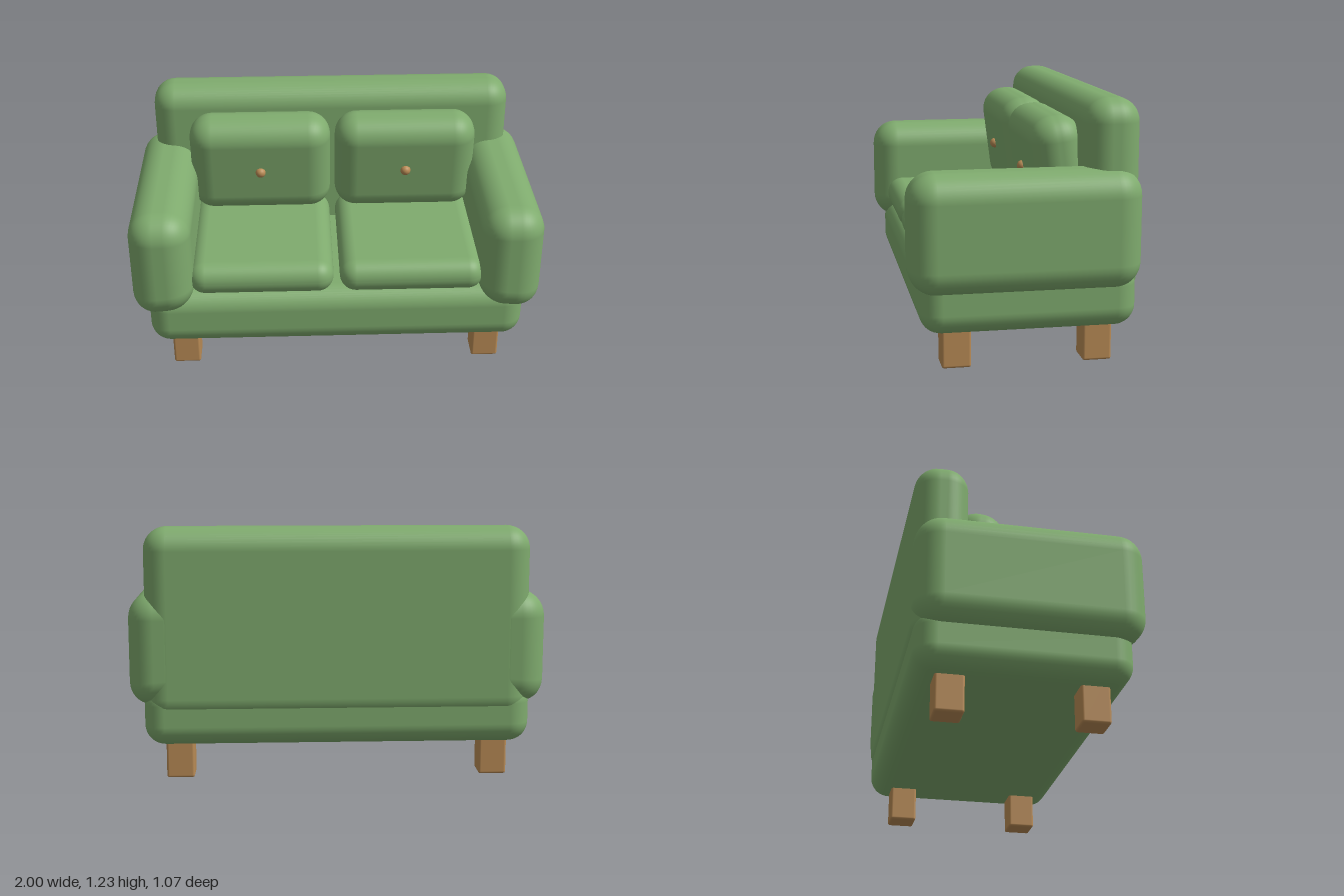
import * as THREE from 'three';
import { RoundedBoxGeometry } from 'three/addons/geometries/RoundedBoxGeometry.js';

export function createModel() {
  const sofa = new THREE.Group();
  sofa.name = 'sofa';

  const fabric = new THREE.MeshStandardMaterial({ color: 0x7fab6e });
  fabric.name = 'green fabric';
  const wood = new THREE.MeshStandardMaterial({ color: 0xb98b55 });
  wood.name = 'warm wood';

  // Rounded block given by its [min, max] extent on each axis
  function block(name, [x0, x1], [y0, y1], [z0, z1], radius, material = fabric, segments = 5) {
    const geometry = new RoundedBoxGeometry(x1 - x0, y1 - y0, z1 - z0, segments, radius);
    const mesh = new THREE.Mesh(geometry, material);
    mesh.name = name;
    mesh.position.set((x0 + x1) / 2, (y0 + y1) / 2, (z0 + z1) / 2);
    sofa.add(mesh);
    return mesh;
  }

  // Frame
  block('base', [-0.93, 0.93], [0.175, 0.475], [-0.52, 0.48], 0.1);
  block('backrest', [-0.92, 0.92], [0.3, 1.225], [-0.53, -0.275], 0.11);

  for (const side of [-1, 1]) {
    const label = side > 0 ? 'left' : 'right';
    const span = (a, b) => (side > 0 ? [a, b] : [-b, -a]);

    // Armrest, its underside rising slightly toward the seat
    const arm = block(label + 'Armrest', span(0.7, 1), [0.36, 0.915], [-0.53, 0.535], 0.125);
    const p = arm.geometry.attributes.position;
    for (let i = 0; i < p.count; i++) {
      if (p.getY(i) < 0) p.setY(i, p.getY(i) + 0.1 * Math.max(0, 0.12 - side * p.getX(i)));
    }

    // Seat cushion
    block(label + 'SeatCushion', span(0.015, 0.725), [0.455, 0.62], [-0.32, 0.475], 0.08);

    // Back cushion, its top leaning forward, with a button on its face
    const cushion = block(label + 'BackCushion', span(0.012, 0.732), [0.595, 1.125], [-0.335, -0.085], 0.115);
    cushion.rotation.x = 0.13;
    const button = new THREE.Mesh(new THREE.SphereGeometry(0.026, 20, 14), wood);
    button.name = label + 'Button';
    button.position.set(0, 0.005, 0.125);
    cushion.add(button);

    // Legs
    for (const [end, z] of [['Front', 0.308], ['Back', -0.35]]) {
      block(label + end + 'Leg', span(0.697, 0.832), [0, 0.24], [z - 0.068, z + 0.068], 0.012, wood, 2);
    }
  }
  return sofa;
}
